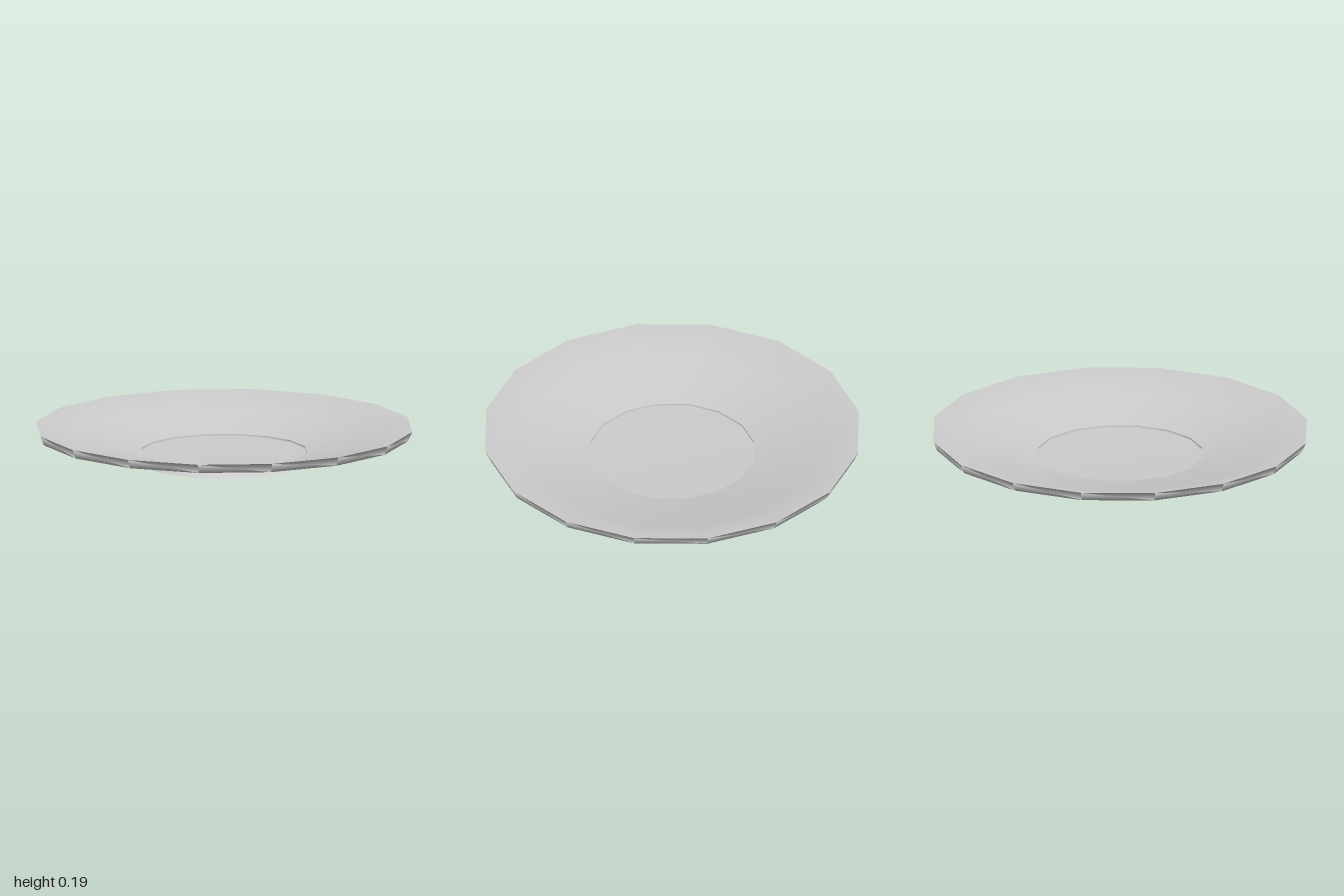
import * as THREE from 'three';

const SIDES = 16;

// Revolve one smooth stretch of the profile; creases fall between stretches
function turned(name, points, material) {
  const profile = points.map(([r, y]) => new THREE.Vector2(r, y));
  const mesh = new THREE.Mesh(new THREE.LatheGeometry(profile, SIDES), material);
  mesh.name = name;
  return mesh;
}

export function createModel() {
  const group = new THREE.Group();
  group.name = 'saucer';
  const material = new THREE.MeshStandardMaterial({ color: 0xcccccc, side: THREE.DoubleSide });

  const parts = {
    // recessed underside inside the foot
    baseUnderside: [[0, 0.04], [0.365, 0.04], [0.365, 0.03]],
    // flared foot ring, inside then outside
    footInside: [[0.365, 0.03], [0.44, 0]],
    footOutside: [[0.44, 0], [0.375, 0.034]],
    // underside, rolled rim and dished upper face
    dish: [[0.375, 0.034], [0.98, 0.142], [1, 0.19], [0.79, 0.128], [0.44, 0.063]],
    // shallow well that holds the cup
    well: [[0.44, 0.063], [0.44, 0.05], [0, 0.05]],
  };

  for (const [name, points] of Object.entries(parts)) group.add(turned(name, points, material));
  return group;
}
